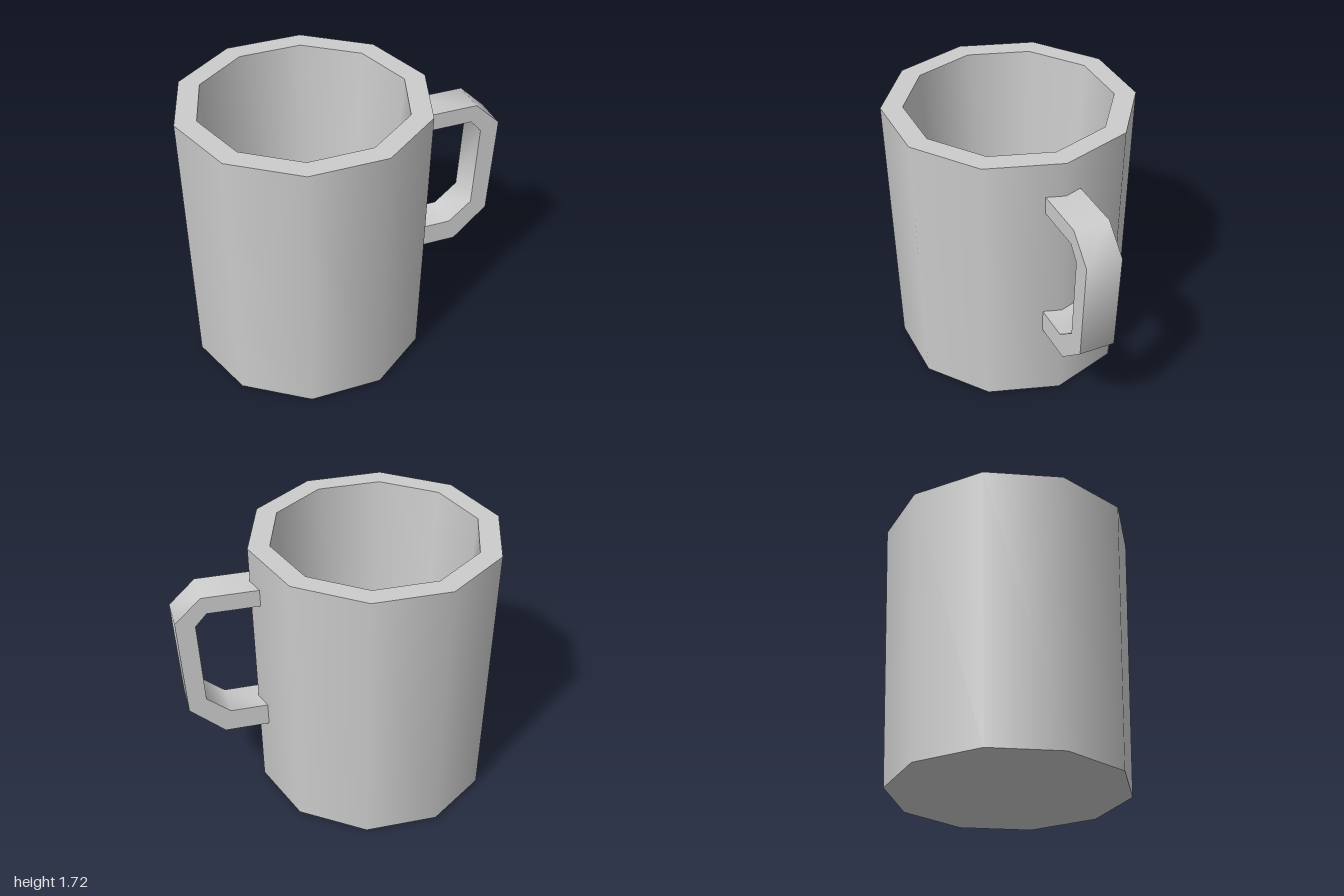
import * as THREE from 'three';
import { toCreasedNormals } from 'three/addons/utils/BufferGeometryUtils.js';

const SIDES = 10;
const CENTER_X = -0.2325;

export function createModel() {
  const group = new THREE.Group();
  const lightGrey = new THREE.MeshStandardMaterial({ color: 0xcccccc });
  lightGrey.name = 'lightGrey';
  const darkGrey = new THREE.MeshStandardMaterial({ color: 0x7f7f7f });
  darkGrey.name = 'darkGrey';

  // Ten-sided ring between two [radius, height] points, with a corner on +x
  function ring(name, from, to, material) {
    const points = [from, to].map(([r, y]) => new THREE.Vector2(r, y));
    const mesh = new THREE.Mesh(new THREE.LatheGeometry(points, SIDES, Math.PI / 2), material);
    mesh.name = name;
    mesh.position.x = CENTER_X;
    group.add(mesh);
  }

  // Cup, from the underside up over the rim and down to the inner floor
  ring('underside', [0, 0.005], [0.7275, 0.015], lightGrey);
  ring('outerWall', [0.7275, 0.015], [0.7675, 1.72], lightGrey);
  ring('rim', [0.7675, 1.72], [0.635, 1.72], lightGrey);
  ring('innerWall', [0.635, 1.72], [0.5475, 0.25], lightGrey);
  ring('floorEdge', [0.5475, 0.25], [0.53, 0.17], darkGrey);
  ring('innerFloor', [0.53, 0.17], [0, 0.17], darkGrey);

  // Handle: angular loop, outer edge then inner edge
  const loop = [
    [0.47, 0.51], [0.745, 0.51], [0.96, 0.705], [1.0, 1.345], [0.84, 1.5], [0.49, 1.5],
    [0.49, 1.39], [0.81, 1.39], [0.88, 1.31], [0.85, 0.775], [0.705, 0.655], [0.47, 0.655],
  ];
  const shape = new THREE.Shape(loop.map(([x, y]) => new THREE.Vector2(x, y)));
  const bar = new THREE.ExtrudeGeometry(shape, { depth: 0.22, bevelEnabled: false });
  bar.translate(0, 0, -0.11);
  const handle = new THREE.Mesh(toCreasedNormals(bar, 1.0), lightGrey);
  handle.name = 'handle';
  group.add(handle);

  return group;
}
